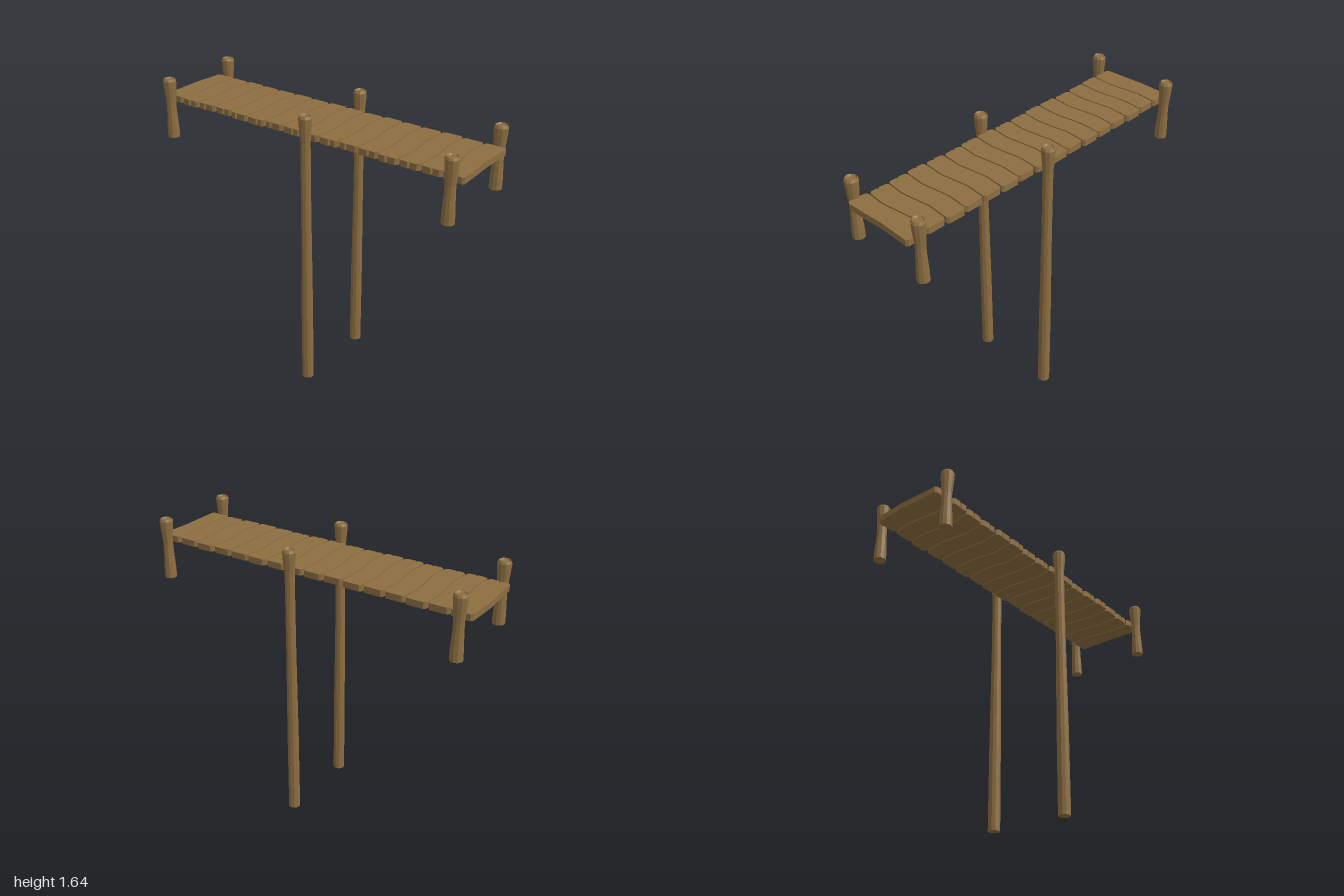
import * as THREE from 'three';

export function createModel() {
  const model = new THREE.Group();
  model.name = 'plankWalkway';

  // The walkway runs along local x and is turned as a whole
  const walkway = new THREE.Group();
  walkway.name = 'walkway';
  walkway.rotation.y = THREE.MathUtils.degToRad(15);
  model.add(walkway);

  const wood = new THREE.MeshStandardMaterial({ color: 0x8d6e41, flatShading: true });
  wood.name = 'wood';

  // Deck planks: wavy seams, clipped corners, small notch in the front end
  const count = 16, half = 0.975, pitch = (2 * half) / count, gap = 0.004;
  const wave = [[-0.09, -0.011], [0.09, 0.011]]; // z, sideways shift of a seam
  const endWave = [[-0.03, -0.008], [0.09, -0.003]];

  function plankGeometry(i) {
    const l = -half + i * pitch + (i > 0 ? gap : 0);
    const r = -half + (i + 1) * pitch - (i < count - 1 ? gap : 0);
    const lw = i === 0 ? endWave : wave;
    const rw = i === count - 1 ? endWave : wave;
    const back = -0.219 + 0.004 * Math.sin(i * 2.3);
    const front = 0.219 + 0.005 * Math.sin(i * 1.7);
    const mid = (l + r) / 2 + 0.015 * Math.sin(i * 2.9);
    const c = 0.012;
    const outline = [
      [l, back + c], [l + c, back], [r - c, back], [r, back + c],
      ...rw.map(([z, s]) => [r + s, z]),
      [r, front - c], [r - c, front],
      [mid + 0.006, front], [mid, front - 0.012], [mid - 0.006, front + 0.002],
      [l + c, front], [l, front - c],
      ...lw.map(([z, s]) => [l + s, z]).reverse(),
    ];
    const shape = new THREE.Shape(outline.map(([x, z]) => new THREE.Vector2(x, -z)));
    const geo = new THREE.ExtrudeGeometry(shape, { depth: 0.036, bevelEnabled: false });
    return geo.rotateX(-Math.PI / 2);
  }

  for (let i = 0; i < count; i++) {
    const plank = new THREE.Mesh(plankGeometry(i), wood);
    plank.name = `plank${i + 1}`;
    plank.position.y = 1.502;
    walkway.add(plank);
  }

  // Posts: faceted, waisted below a wide head with a shallow dished top
  const head = [[0.028, 1.5], [0.0365, 1.6], [0.038, 1.632], [0.031, 1.645], [0.024, 1.638], [0, 1.638]];
  const shortFoot = [[0, 1.295], [0.035, 1.295], [0.034, 1.35], [0.0285, 1.45]];
  const tallFoot = [[0, 0], [0.035, 0], [0.034, 0.5], [0.0285, 1.1]];
  const makePost = (foot) => new THREE.LatheGeometry(
    [...foot, ...head].map(([r, y]) => new THREE.Vector2(r, y)), 10);
  const shortPost = makePost(shortFoot), tallPost = makePost(tallFoot);

  for (const side of [-1, 1]) {
    for (const x of [-0.92, 0.062, 0.92]) {
      const tall = Math.abs(x) < 0.5;
      const post = new THREE.Mesh(tall ? tallPost : shortPost, wood);
      post.name = (side > 0 ? 'front' : 'back') + (tall ? 'SupportPost' : 'EndPost');
      post.position.set(x, 0, side * 0.245);
      walkway.add(post);
    }
  }
  return model;
}
